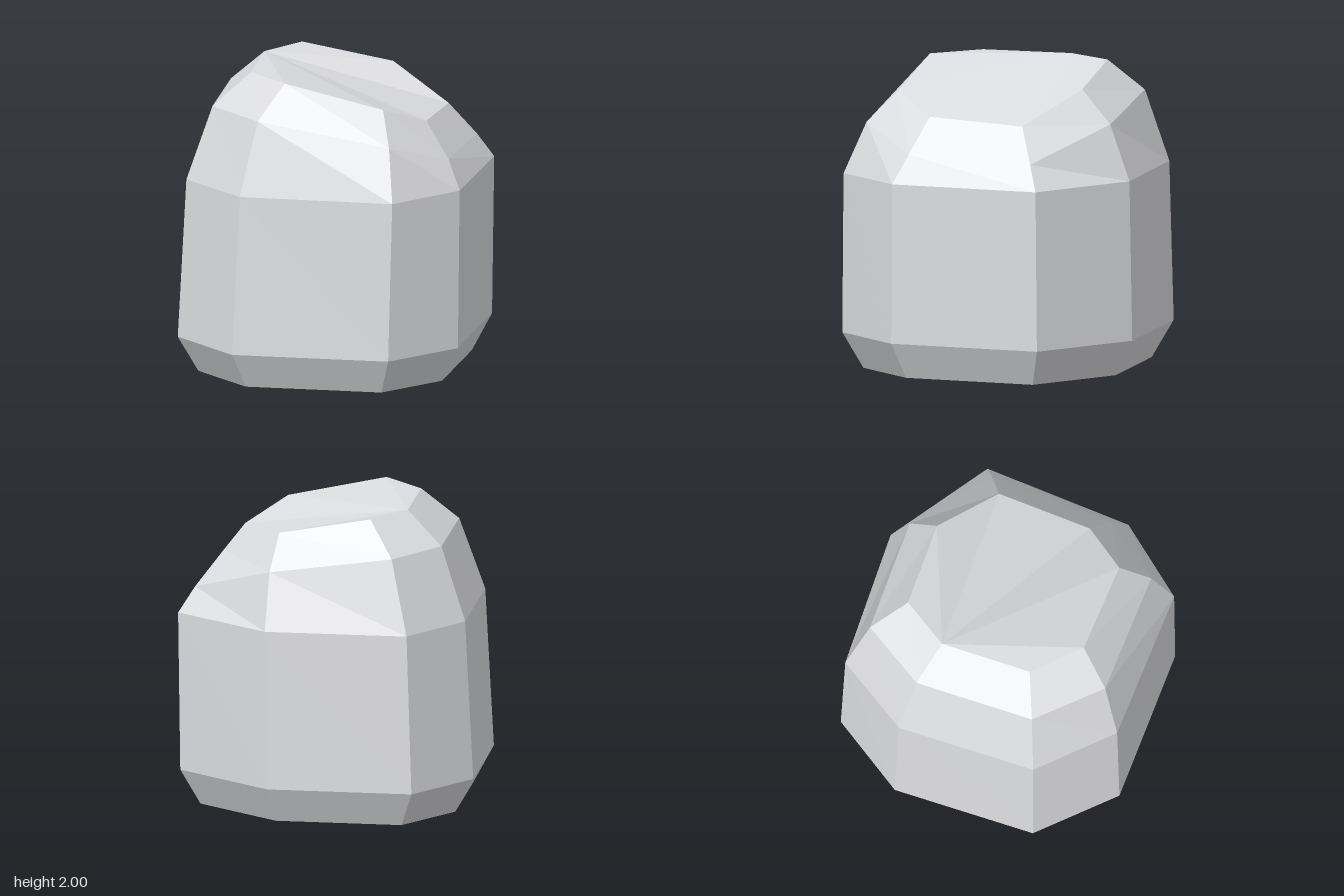
import * as THREE from 'three';

// Faceted boulder: eight-sided rings stacked from the ground to a slanted top.
export function createModel() {
  const group = new THREE.Group();
  group.name = 'boulder';
  const stone = new THREE.MeshStandardMaterial({ color: 0xdcdde0, flatShading: true });
  stone.name = 'pale grey stone';

  const level = (y, xz) => xz.map(([x, z]) => [x, y, z]);

  // Corners run anticlockwise seen from above, starting at front right (-x, +z)
  const belly = level(0.24, [
    [-0.57, 0.92], [0.47, 0.98], [0.875, 0.54], [0.97, -0.475],
    [0.34, -0.955], [-0.62, -0.98], [-0.97, -0.5], [-0.99, 0.455],
  ]);
  const base = belly.map(([x, , z]) => [x * 0.87, 0, z * 0.87]);
  const shoulder = level(1.3, [
    [-0.525, 0.89], [0.495, 0.965], [0.885, 0.53], [0.985, -0.47],
    [0.355, -0.94], [-0.585, -0.96], [-0.915, -0.49], [-0.935, 0.44],
  ]);
  const brow = [
    [-0.42, 1.785, 0.775], [0.455, 1.64, 0.82], [0.8, 1.49, 0.44], [0.88, 1.465, -0.405],
    [0.34, 1.67, -0.805], [-0.47, 1.785, -0.825], [-0.75, 1.785, -0.42], [-0.77, 1.785, 0.38],
  ];
  const rim = [
    [-0.265, 2, 0.58], [0.39, 1.85, 0.62], [0.64, 1.72, 0.34], [0.705, 1.69, -0.305],
    [0.3, 1.89, -0.605], [-0.305, 2, -0.615], [-0.515, 2, -0.315], [-0.53, 2, 0.29],
  ];

  const add = (name, triangles) => {
    const geometry = new THREE.BufferGeometry();
    geometry.setAttribute('position', new THREE.Float32BufferAttribute(triangles.flat(2), 3));
    geometry.computeVertexNormals();
    const mesh = new THREE.Mesh(geometry, stone);
    mesh.name = name;
    group.add(mesh);
  };

  // Band of split quads between two rings
  const band = (lower, upper) => lower.flatMap((p, i) => {
    const j = (i + 1) % lower.length;
    return [[p, lower[j], upper[i]], [upper[i], lower[j], upper[j]]];
  });

  // Fan closing a ring from one of its corners
  const fan = (ring, start) => Array.from({ length: ring.length - 2 }, (_, k) => {
    const at = (n) => ring[(start + n) % ring.length];
    return [at(0), at(k + 1), at(k + 2)];
  });

  add('foot', band(base, belly));
  add('walls', band(belly, shoulder));
  add('lowerSlope', band(shoulder, brow));
  add('upperSlope', band(brow, rim));
  add('slantedTop', fan(rim, 6));
  add('underside', fan([...base].reverse(), 0));

  return group;
}
